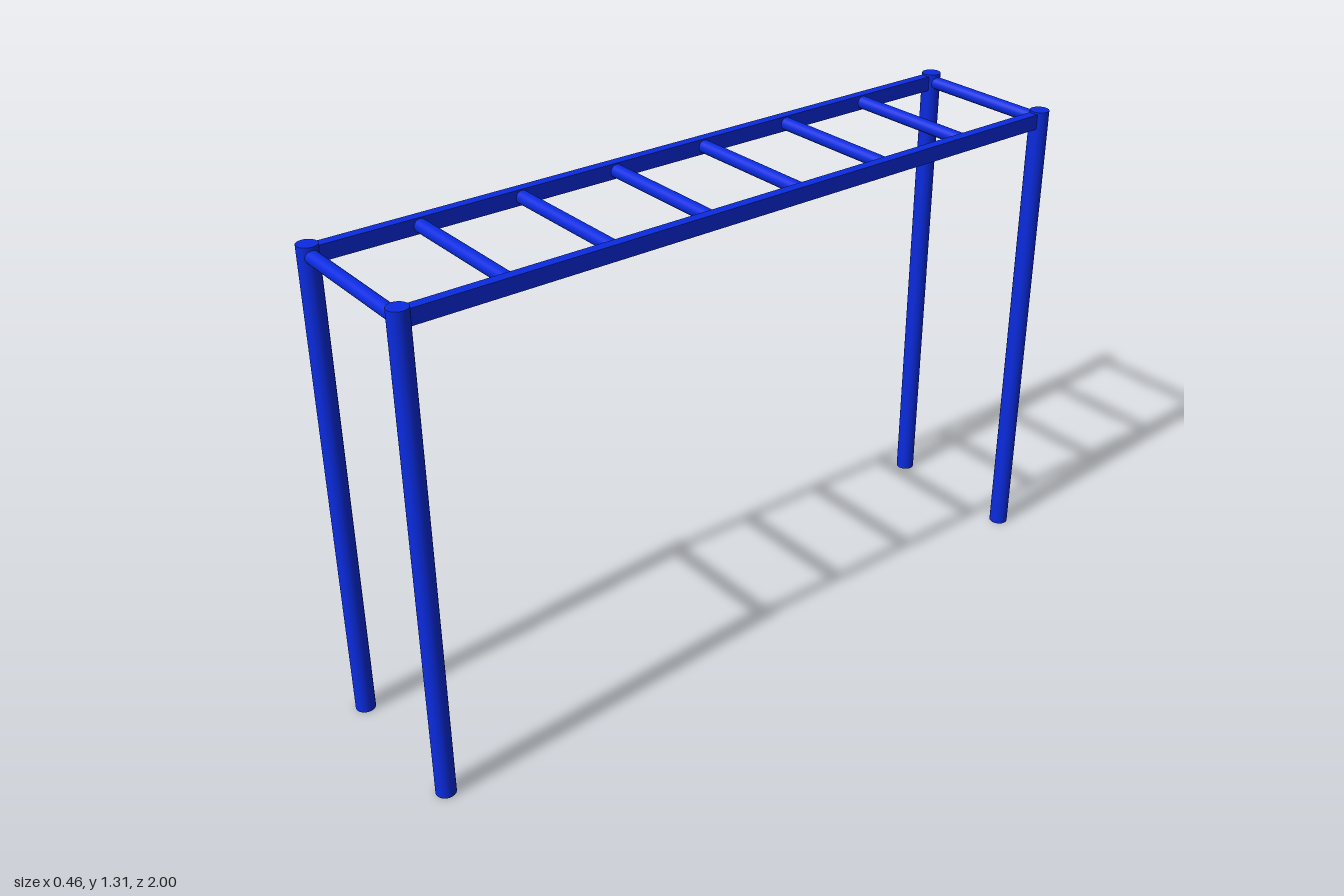
import * as THREE from 'three';

export function createModel() {
  const group = new THREE.Group();
  group.name = 'monkeyBars';
  const blue = new THREE.MeshStandardMaterial({ color: 0x0a2be0 });

  const X = 0.204, Z = 0.974; // post centres
  const HEIGHT = 1.31, BAR_Y = 1.284;
  const RUNGS = 8;

  function add(name, geometry, x, y, z) {
    const mesh = new THREE.Mesh(geometry, blue);
    mesh.name = name;
    mesh.position.set(x, y, z);
    group.add(mesh);
  }

  const post = new THREE.CylinderGeometry(0.026, 0.026, HEIGHT, 32);
  const rail = new THREE.BoxGeometry(0.027, 0.041, 2 * Z);
  const rung = new THREE.CylinderGeometry(0.0175, 0.0175, 2 * X, 24).rotateZ(Math.PI / 2);

  // Four upright posts and two long flat-sided rails
  for (const [side, sx] of [['left', 1], ['right', -1]]) {
    for (const [end, sz] of [['Front', 1], ['Back', -1]]) {
      add(`${side}${end}Post`, post, sx * X, HEIGHT / 2, sz * Z);
    }
    add(`${side}Rail`, rail, sx * X, BAR_Y, 0);
  }

  // Evenly spaced round rungs, the end ones joining the posts
  for (let i = 0; i < RUNGS; i++) {
    add(`rung${i + 1}`, rung, 0, BAR_Y, Z - (2 * Z * i) / (RUNGS - 1));
  }

  return group;
}
